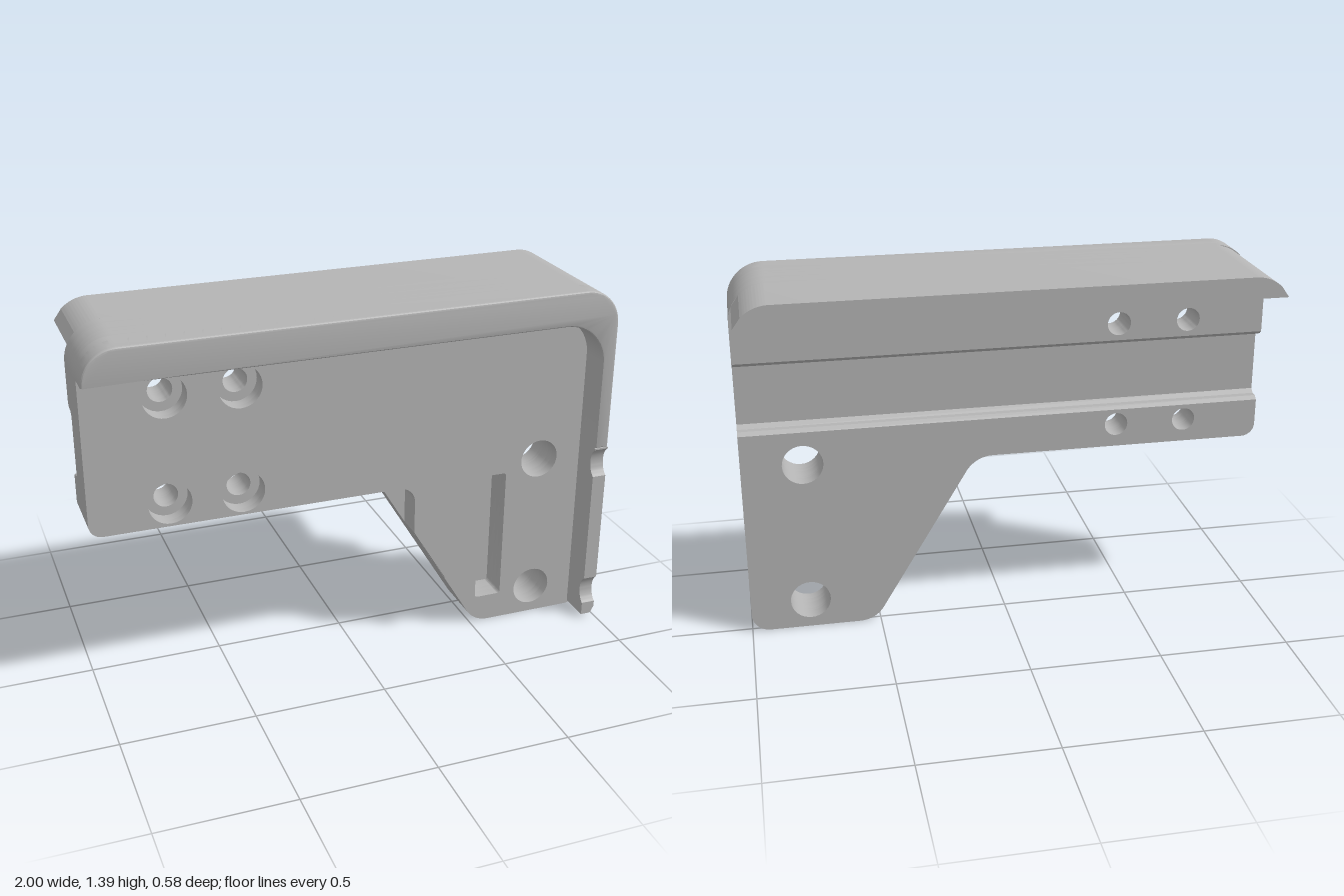
import * as THREE from 'three';
import { toCreasedNormals } from 'three/addons/utils/BufferGeometryUtils.js';

const R = 0.14; // radius of the top corners
const BACK = -0.02, GROOVE = 0.035, FACE = 0.17;

// Closed polygon from [x, y, cornerRadius] points
function rounded(points, holes = []) {
  const shape = new THREE.Shape();
  points.forEach(([x, y, r = 0], i) => {
    const n = points.length;
    const p = new THREE.Vector2(x, y);
    const a = new THREE.Vector2(...points[(i + n - 1) % n]).sub(p).normalize();
    const b = new THREE.Vector2(...points[(i + 1) % n]).sub(p).normalize();
    const turn = Math.PI - Math.acos(THREE.MathUtils.clamp(a.dot(b), -1, 1));
    const t = r * Math.tan(turn / 2);
    const k = t - r * (4 / 3) * Math.tan(turn / 4);
    const at = (d, s) => [p.x + d.x * s, p.y + d.y * s];
    if (i === 0) shape.moveTo(...at(a, t));
    else shape.lineTo(...at(a, t));
    if (r > 0) shape.bezierCurveTo(...at(a, k), ...at(b, k), ...at(b, t));
  });
  shape.closePath();
  for (const [x, y, r] of holes) {
    const hole = new THREE.Path();
    hole.absarc(x, y, r, 0, Math.PI * 2, true);
    shape.holes.push(hole);
  }
  return shape;
}

export function createModel() {
  const group = new THREE.Group();
  const metal = new THREE.MeshStandardMaterial({ color: 0xb4b4b4 });
  metal.name = 'grey metal';

  const add = (name, geometry) => {
    const mesh = new THREE.Mesh(toCreasedNormals(geometry, 0.5), metal);
    mesh.name = name;
    group.add(mesh);
  };
  const extrude = (shape, z0, z1, bevel = 0) => new THREE.ExtrudeGeometry(shape, {
    depth: z1 - z0, curveSegments: 16, bevelEnabled: bevel > 0, bevelSize: bevel,
    bevelThickness: bevel, bevelOffset: -bevel, bevelSegments: 3,
  }).translate(0, 0, z0);
  // Profile drawn in (-z, y), run along x
  const alongX = (shape, x0, x1) => extrude(shape, x0, x1).rotateY(Math.PI / 2);

  // Hole positions
  const legHoles = [[0.77, 0.685, 0.077], [0.77, 0.115, 0.077]];
  const lower = [[-0.705, 0.755], [-0.435, 0.755]];
  const upper = [[-0.705, 1.16], [-0.435, 1.16]];
  const sized = (list, r) => list.map(([x, y]) => [x, y, r]);
  const screws = sized([...lower, ...upper], 0.045);
  const bores = sized([...lower, ...upper], 0.08);

  // Outlines of the bracket, seen from the front
  const foot = [[0.52, 0, 0.11], [1, 0, 0.07]];
  const head = [[1, 1.39, R], [-1, 1.39, R]];
  const web = [[-1, 0.665, 0.05], [0.117, 0.665, 0.12], ...foot];
  const panel = [[-1, 0.665, 0.05], [0.235, 0.665, 0.065], [0.235, 0.47], ...foot];
  const withSlot = (shape) => {
    const slot = rounded([[0.52, 0.11, 0.012], [0.52, 0.645, 0.012], [0.63, 0.645, 0.012], [0.63, 0.11, 0.012]]);
    shape.holes.push(new THREE.Path(slot.getPoints(4)));
    return shape;
  };

  // Body in slices from back to front
  add('lowerBack', extrude(rounded([...web, [1, 0.81], [-1, 0.81]],
    [...legHoles, ...sized(lower, 0.045)]), BACK, GROOVE));
  add('upperBack', extrude(rounded([[-1, 1.1], [1, 1.1], ...head], sized(upper, 0.045)), BACK, GROOVE));
  add('core', extrude(rounded([...web, ...head], [...legHoles, ...screws]), GROOVE, 0.05));
  add('slottedCore', extrude(withSlot(rounded([...web, ...head], [...legHoles, ...screws])), 0.05, 0.1));
  add('panelBase', extrude(withSlot(rounded([...panel, ...head], [...legHoles, ...screws])), 0.1, 0.13));
  add('panelFace', extrude(withSlot(rounded([...panel, ...head], [...legHoles, ...bores])), 0.13, FACE));
  add('raisedArmPanel', extrude(rounded([[-1, 0.665, 0.05], [0.235, 0.665, 0.065], [0.235, 0.47],
    [0.375, 0.24], [0.375, 1.26], [-1, 1.26]], bores), FACE, 0.2));

  // Chamfered lips of the rear groove
  add('grooveLowerLip', alongX(rounded([[0.02, 0.81], [0.02, 0.815], [0.005, 0.828],
    [-0.02, 0.828], [-0.035, 0.843], [-0.035, 0.81]]), -1, 1));
  add('grooveUpperLip', alongX(rounded([[0.02, 1.1], [0.02, 1.095], [0.005, 1.082],
    [-0.02, 1.082], [-0.035, 1.067], [-0.035, 1.1]]), -1, 1));

  // Front rim: rounded top lip that turns down the side
  const lip = [[-1, 1.26], [0.945, 1.26, 0.16], [0.945, 0.75], [1, 0.75], [1, 1.39, R], [-1, 1.39, 0.129]];
  add('rimBase', extrude(rounded(lip), FACE, 0.28));
  add('rimRoundedEdge', extrude(rounded(lip), 0.21, 0.28, 0.01));

  // Lower side rim with two scooped notches
  const side = new THREE.Shape();
  side.moveTo(-0.17, 0.06);
  side.lineTo(-0.17, 0.75);
  side.lineTo(-0.29, 0.75);
  for (const y of [0.687, 0.12]) {
    side.lineTo(-0.29, y + 0.057);
    side.bezierCurveTo(-0.253, y + 0.035, -0.253, y - 0.035, -0.29, y - 0.057);
  }
  side.lineTo(-0.29, 0.06);
  add('sideRim', alongX(side, 0.945, 1));
  add('sideRimFoot', extrude(rounded([[0.945, 0.012], [0.985, 0.012, 0.01], [1, 0.04, 0.02], [1, 0.064], [0.945, 0.064]]), FACE, 0.29));

  // Rear shelf: upper half carries the rounded corners
  const start = Math.asin(0.1 / R);
  const cap = new THREE.Shape();
  cap.absarc(1 - R, 1.25, R, start, Math.PI / 2);
  cap.absarc(R - 1, 1.25, R, Math.PI / 2, Math.PI - start);
  cap.closePath();
  add('shelfTop', extrude(cap, -0.29, BACK));

  // Lower half has two tapered recesses; its ends follow the corner arc
  const recesses = [[-0.84, 0.15, 0.1], [-0.57, 0.15, 0.1]];
  const under = extrude(rounded([[-0.98, 0.02], [0.98, 0.02], [0.98, 0.29], [-0.98, 0.29]], recesses), 1.31, 1.35)
    .rotateX(-Math.PI / 2);
  const pos = under.attributes.position;
  for (let i = 0; i < pos.count; i++) {
    const x = pos.getX(i), y = pos.getY(i), z = pos.getZ(i);
    if (Math.abs(x) > 0.955) {
      pos.setX(i, Math.sign(x) * (1 - R + Math.sqrt(R * R - (y - 1.25) ** 2)));
    } else if (y > 1.33) {
      const cx = x < -0.705 ? -0.84 : -0.57;
      pos.setX(i, cx + (x - cx) * 0.75);
      pos.setZ(i, -0.15 + (z + 0.15) * 0.75);
    }
  }
  add('shelfUnderside', under);

  // Fillet between shelf and back wall
  const fillet = new THREE.Shape();
  fillet.moveTo(0.02, 1.31);
  fillet.lineTo(0.02, 1.28);
  fillet.quadraticCurveTo(0.02, 1.31, 0.05, 1.31);
  fillet.closePath();
  add('shelfFillet', alongX(fillet, -0.985, 0.985));

  return group;
}
